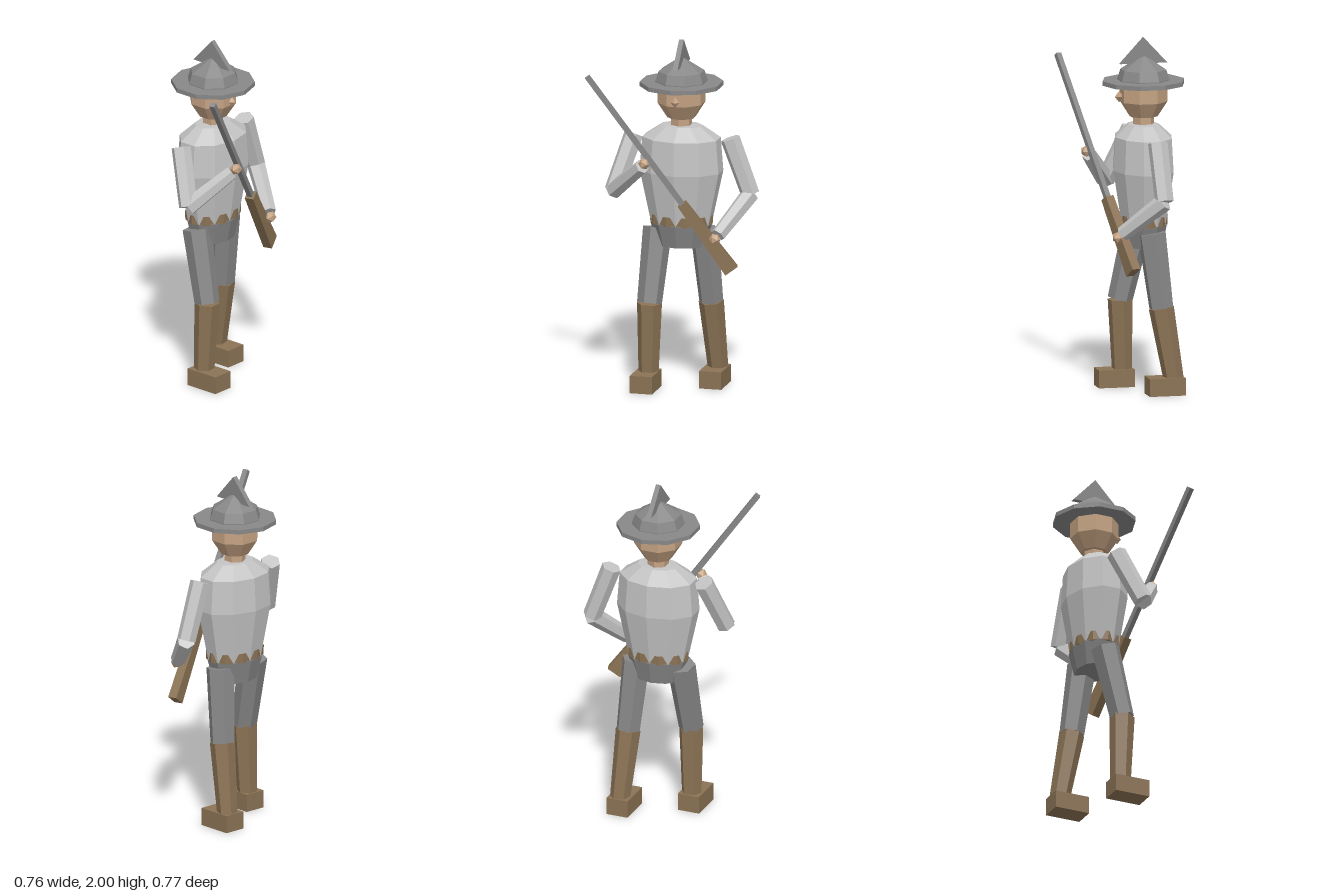
import * as THREE from 'three';

const mat = (name, color) => {
  const m = new THREE.MeshStandardMaterial({ color, flatShading: true });
  m.name = name;
  return m;
};

export function createModel() {
  const shirt = mat('shirt light grey', 0xc4c4c4);
  const grey = mat('cloth and steel grey', 0x888888);
  const brown = mat('leather brown', 0x8b7355);
  const skin = mat('skin', 0xc4a282);

  const model = new THREE.Group();
  model.name = 'rifleman';

  // Everything upright shares one heading, turned slightly to the left
  const TURN = Math.PI / 10;
  const body = new THREE.Group();
  body.name = 'body';
  body.position.set(-0.03, 0, -0.135);
  body.rotation.y = TURN;
  model.add(body);

  const add = (parent, name, geometry, material) => {
    const mesh = new THREE.Mesh(geometry, material);
    mesh.name = name;
    parent.add(mesh);
    return mesh;
  };

  // Faceted solid of revolution, profile from bottom to top
  const turned = (name, profile, sides, material, depth = 1, spin = 0) => {
    const g = new THREE.LatheGeometry(profile.map(p => new THREE.Vector2(...p)), sides);
    g.rotateY(spin);
    g.scale(1, 1, depth);
    return add(body, name, g.toNonIndexed(), material);
  };

  // Places a geometry whose axis is y between two points
  const span = (name, geometry, a, b, material) => {
    const A = new THREE.Vector3(...a), B = new THREE.Vector3(...b);
    const y = A.clone().sub(B).normalize();
    const x = new THREE.Vector3(y.z, 0, -y.x).normalize();
    const z = x.clone().cross(y);
    const mesh = add(model, name, geometry, material);
    mesh.quaternion.setFromRotationMatrix(new THREE.Matrix4().makeBasis(x, y, z));
    mesh.position.copy(A).add(B).multiplyScalar(0.5);
    return mesh;
  };
  const dist = (a, b) => new THREE.Vector3(...a).distanceTo(new THREE.Vector3(...b));
  const limb = (name, a, b, ra, rb, material) =>
    span(name, new THREE.CylinderGeometry(ra, rb, dist(a, b), 6), a, b, material);

  // Torso, waist and hips
  turned('torso', [[0, 0.95], [0.175, 0.95], [0.24, 1.25], [0.225, 1.44], [0.12, 1.51], [0, 1.515]],
    10, shirt, 0.72);
  turned('belt', [[0, 0.945], [0.181, 0.945], [0.182, 1.0], [0, 1.0]], 10, brown, 0.73, TURN);
  turned('hips', [[0, 0.82], [0.14, 0.82], [0.178, 0.95], [0, 0.95]], 10, grey, 0.76);

  // Head
  const eighth = Math.PI / 8;
  turned('neck', [[0, 1.48], [0.06, 1.48], [0.06, 1.57], [0, 1.57]], 6, skin);
  turned('head', [[0, 1.555], [0.08, 1.555], [0.135, 1.64], [0.135, 1.74], [0, 1.74]],
    8, skin, 1, eighth);
  const nose = add(body, 'nose', new THREE.OctahedronGeometry(0.025), skin);
  nose.scale.y = 1.3;
  nose.position.set(0, 1.67, 0.14);

  // Hat
  turned('hatBrim', [[0, 1.735], [0.235, 1.735], [0.235, 1.76], [0, 1.76]], 10, grey);
  turned('hatCrown', [[0.148, 1.75], [0.148, 1.765], [0.13, 1.82], [0, 1.905]], 8, grey, 1, eighth);
  const crestShape = new THREE.Shape([[-0.135, 1.855], [0.135, 1.855], [0, 2]]
    .map(p => new THREE.Vector2(...p)));
  const crestGeo = new THREE.ExtrudeGeometry(crestShape, { depth: 0.028, bevelEnabled: false });
  crestGeo.translate(0, 0, -0.014);
  crestGeo.rotateY(Math.PI / 2);
  add(body, 'hatCrest', crestGeo, grey);

  // Legs in mid stride
  const legs = {
    right: { hip: [-0.16, 0.91, -0.09], knee: [-0.152, 0.495, 0.005], ankle: [-0.165, 0.08, -0.005], foot: [-0.157, 0.037] },
    left: { hip: [0.085, 0.91, -0.19], knee: [0.097, 0.49, -0.245], ankle: [0.098, 0.08, -0.315], foot: [0.107, -0.267] },
  };
  for (const [side, l] of Object.entries(legs)) {
    limb(side + 'Thigh', l.hip, l.knee, 0.082, 0.07, grey);
    limb(side + 'Boot', l.knee, l.ankle, 0.071, 0.057, brown);
    const foot = add(model, side + 'Foot', new THREE.BoxGeometry(0.128, 0.1, 0.206), brown);
    foot.position.set(l.foot[0], 0.05, l.foot[1]);
    foot.rotation.y = TURN;
  }

  // Arms holding the rifle
  const arms = {
    right: { shoulder: [-0.29, 1.44, -0.045], elbow: [-0.33, 1.14, 0.1], wrist: [-0.09, 1.325, 0.175], hand: [-0.07, 1.345, 0.185] },
    left: { shoulder: [0.23, 1.445, -0.235], elbow: [0.335, 1.13, -0.28], wrist: [0.277, 0.935, -0.04], hand: [0.272, 0.915, -0.015] },
  };
  for (const [side, a] of Object.entries(arms)) {
    limb(side + 'UpperArm', a.shoulder, a.elbow, 0.056, 0.053, shirt);
    limb(side + 'Forearm', a.elbow, a.wrist, 0.052, 0.042, shirt);
    const hand = add(model, side + 'Hand', new THREE.IcosahedronGeometry(0.034), skin);
    hand.position.set(...a.hand);
  }

  // Rifle: slim square barrel and a stock that widens towards the butt
  const muzzle = [-0.33, 1.85, 0.368], breech = [0.1, 1.11, 0.057], butt = [0.323, 0.725, -0.105];
  span('rifleBarrel', new THREE.BoxGeometry(0.03, dist(muzzle, breech), 0.03), muzzle, breech, grey);
  const stockGeo = new THREE.BoxGeometry(0.052, dist(breech, butt), 0.055);
  const p = stockGeo.attributes.position;
  for (let i = 0; i < p.count; i++) if (p.getY(i) < 0) p.setZ(i, p.getZ(i) * 1.55);
  stockGeo.computeVertexNormals();
  span('rifleStock', stockGeo, breech, butt, brown);

  return model;
}
